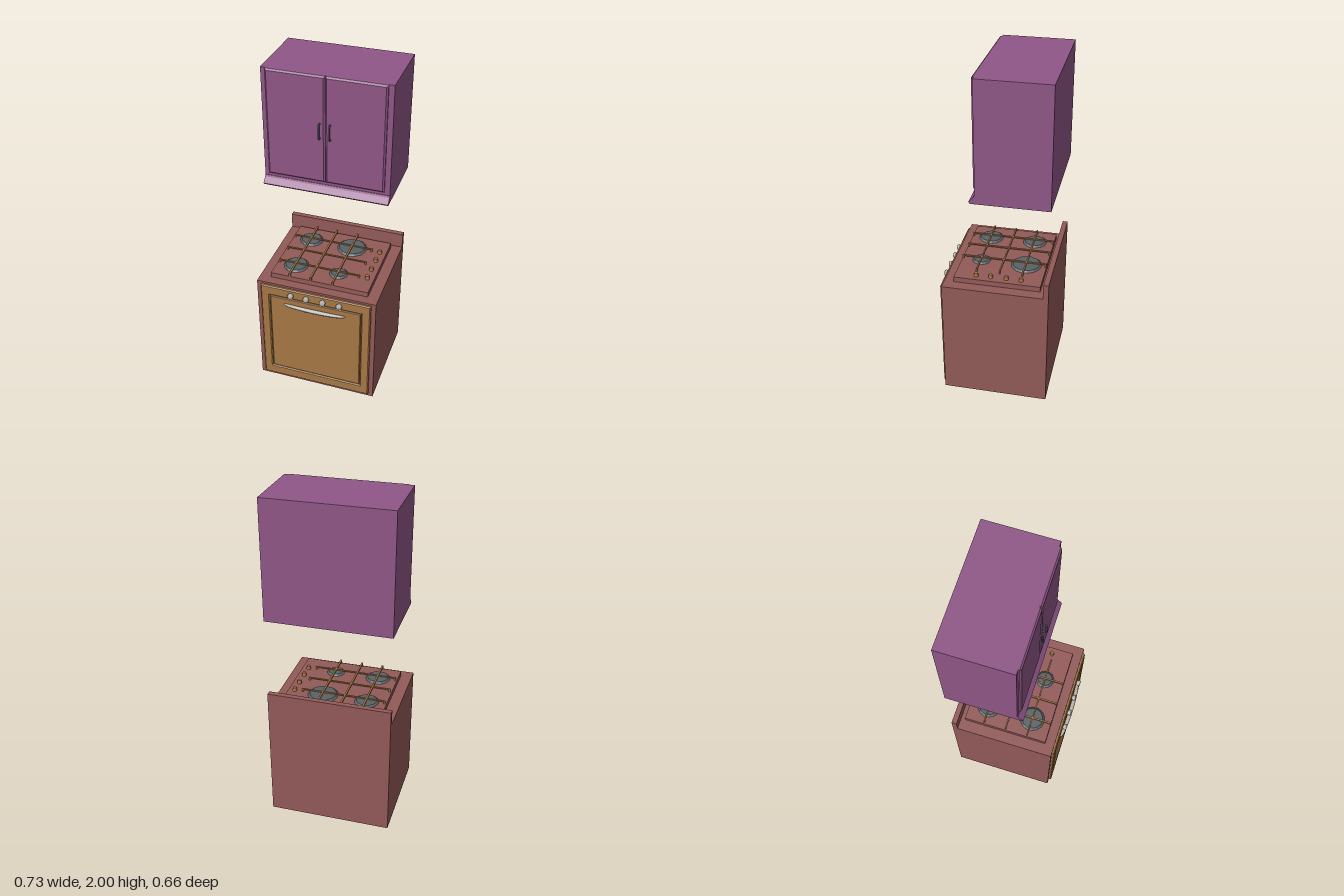
import * as THREE from 'three';

const mat = (name, color, extra = {}) => {
  const m = new THREE.MeshStandardMaterial({ color, ...extra });
  m.name = name;
  return m;
};

export function createModel() {
  const purple = mat('cabinet purple', 0x8f5687);
  const red = mat('stove red', 0x925a58);
  const wood = mat('oven door brown', 0xa67744);
  const iron = mat('dark iron', 0x596266, { flatShading: true });
  const silver = mat('silver', 0xbdb7b0);

  const model = new THREE.Group();
  model.name = 'stoveAndCabinet';
  const add = (parent, name, geo, material, x = 0, y = 0, z = 0) => {
    const m = new THREE.Mesh(geo, material);
    m.name = name;
    m.position.set(x, y, z);
    parent.add(m);
    return m;
  };
  // Box given by its limits
  const box = (parent, name, material, x0, x1, y0, y1, z0, z1) =>
    add(parent, name, new THREE.BoxGeometry(x1 - x0, y1 - y0, z1 - z0), material,
      (x0 + x1) / 2, (y0 + y1) / 2, (z0 + z1) / 2);
  const rect = (path, w, h) => {
    path.moveTo(-w / 2, -h / 2);
    path.lineTo(w / 2, -h / 2);
    path.lineTo(w / 2, h / 2);
    path.lineTo(-w / 2, h / 2);
    path.closePath();
    return path;
  };
  // Chamfered panel standing out from z = 0 to z = d, with an optional opening
  const slab = (w, h, d, b, hole) => {
    const s = rect(new THREE.Shape(), w - 2 * b, h - 2 * b);
    if (hole) s.holes.push(rect(new THREE.Path(), hole, hole));
    return new THREE.ExtrudeGeometry(s, {
      depth: d - b, bevelEnabled: true, bevelSize: b, bevelThickness: b, bevelSegments: 1,
    });
  };

  // ---- Wall cabinet ----
  const cabinet = new THREE.Group();
  cabinet.name = 'wallCabinet';
  model.add(cabinet);
  box(cabinet, 'cabinetBody', purple, -0.365, 0.365, 1.295, 2, -0.333, 0.082);

  // Moulding along the lower front edge, drawn as (z, y) and swept along x
  const lip = new THREE.Shape([[0.08, 1.295], [0.108, 1.295], [0.117, 1.306], [0.09, 1.335], [0.085, 1.345], [0.08, 1.345]]
    .map(([z, y]) => new THREE.Vector2(-z, y)));
  const lipGeo = new THREE.ExtrudeGeometry(lip, { depth: 0.73, bevelEnabled: false });
  lipGeo.rotateY(Math.PI / 2).translate(-0.365, 0, 0);
  add(cabinet, 'cabinetLip', lipGeo, purple);

  for (const s of [-1, 1]) {
    add(cabinet, 'cabinetDoor', slab(0.335, 0.634, 0.016, 0.009), purple, s * 0.1685 - 0.002, 1.683, 0.082);
    const pull = new THREE.CatmullRomCurve3([
      [0, -0.043, 0], [0, -0.043, 0.015], [0, -0.034, 0.021],
      [0, 0.034, 0.021], [0, 0.043, 0.015], [0, 0.043, 0],
    ].map((p) => new THREE.Vector3(...p)), false, 'catmullrom', 0.2);
    add(cabinet, 'cabinetHandle', new THREE.TubeGeometry(pull, 24, 0.005, 8), iron, s * 0.03 - 0.002, 1.685, 0.096);
  }

  // ---- Stove body ----
  const stove = new THREE.Group();
  stove.name = 'stove';
  model.add(stove);
  box(stove, 'stoveBody', red, -0.365, 0.365, 0, 0.733, -0.333, 0.289);
  box(stove, 'backGuard', red, -0.365, 0.365, 0.733, 0.826, -0.333, -0.302);
  box(stove, 'cooktop', red, -0.298, 0.3, 0.733, 0.765, -0.275, 0.233);

  // Oven door: outer frame, groove and centre panel
  add(stove, 'ovenDoorFrame', slab(0.676, 0.7, 0.016, 0.006, 0.58), wood, 0, 0.37, 0.289);
  add(stove, 'ovenDoorPanel', slab(0.56, 0.56, 0.014, 0.004), wood, 0, 0.37, 0.289);

  // Bowed oven handle, thinner towards its ends
  const bow = (t) => 0.302 + 0.016 * Math.sqrt(Math.max(0, 1 - t * t));
  const bar = new THREE.CylinderGeometry(1, 1, 2, 12, 24);
  bar.rotateZ(-Math.PI / 2);
  const p = bar.attributes.position;
  for (let i = 0; i < p.count; i++) {
    const t = p.getX(i);
    const r = 0.004 + 0.009 * Math.sqrt(Math.max(0, 1 - t * t));
    p.setXYZ(i, t * 0.19, p.getY(i) * r, bow(t) + p.getZ(i) * r);
  }
  bar.computeVertexNormals();
  add(stove, 'ovenHandle', bar, silver, -0.003, 0.607, 0);

  // Round control knobs on the oven door
  const knob = new THREE.LatheGeometry([[0.014, 0], [0.014, 0.006], [0.018, 0.009], [0.018, 0.018], [0.015, 0.023], [0, 0.024]]
    .map(([r, y]) => new THREE.Vector2(r, y)), 16);
  for (const x of [-0.146, -0.05, 0.051, 0.152]) {
    add(stove, 'ovenKnob', knob, silver, x, 0.687, 0.304).rotation.x = Math.PI / 2;
  }

  // ---- Cooktop fittings: burners, knobs and grate ----
  for (const [x, z, r] of [[-0.18, 0.116, 0.075], [0.085, 0.116, 0.055], [-0.18, -0.158, 0.072], [0.085, -0.155, 0.091]]) {
    add(stove, 'burner', new THREE.CylinderGeometry(r - 0.012, r, 0.01, 14), iron, x, 0.77, z);
  }
  for (const z of [0.108, 0.022, -0.07, -0.157]) {
    add(stove, 'cooktopKnob', new THREE.CylinderGeometry(0.011, 0.014, 0.022, 12), wood, 0.26, 0.776, z);
  }
  for (const x of [-0.18, -0.05, 0.085]) {
    box(stove, 'grateBar', wood, x - 0.005, x + 0.005, 0.78, 0.787, -0.275, 0.233);
    for (const z of [-0.27, 0.228]) box(stove, 'grateFoot', wood, x - 0.005, x + 0.005, 0.765, 0.78, z - 0.005, z + 0.005);
  }
  for (const z of [-0.155, -0.02, 0.116]) {
    box(stove, 'grateCrossBar', wood, -0.29, 0.215, 0.779, 0.786, z - 0.004, z + 0.004);
    for (const x of [-0.285, 0.21]) box(stove, 'grateFoot', wood, x - 0.005, x + 0.005, 0.765, 0.779, z - 0.004, z + 0.004);
  }

  return model;
}
